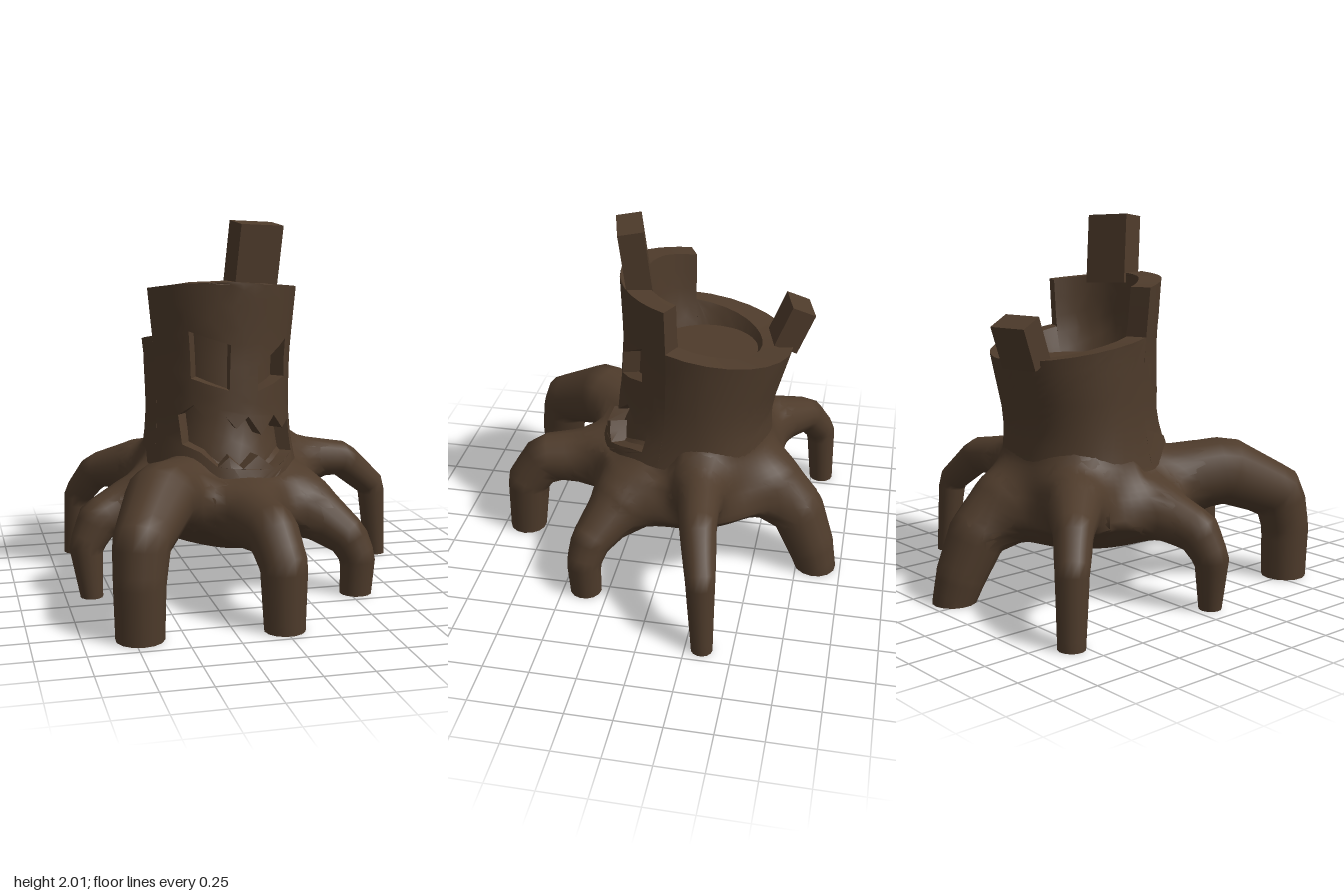
import * as THREE from 'three';
import { toCreasedNormals } from 'three/addons/utils/BufferGeometryUtils.js';

const { lerp, clamp, smoothstep } = THREE.MathUtils;
const CX = -0.105, CZ = -0.19;   // trunk axis
const U = 0.45;                  // unrolled length per radian
const EDGE = 1.21;               // half angle of the raised front

// trunk outline by height: y, half width, front depth, back depth
const RINGS = [
  [0.45, 0.5, 0.63, 0.44], [0.6, 0.45, 0.61, 0.39], [0.75, 0.415, 0.565, 0.365],
  [0.88, 0.4, 0.51, 0.36], [1.0, 0.395, 0.485, 0.38], [1.3, 0.405, 0.465, 0.465],
  [1.38, 0.415, 0.465, 0.5], [1.65, 0.443, 0.475, 0.6],
];
function ring(y) {
  let i = 0;
  while (i < RINGS.length - 2 && y > RINGS[i + 1][0]) i++;
  const a = RINGS[i], b = RINGS[i + 1], t = (y - a[0]) / (b[0] - a[0]);
  return [1, 2, 3].map(k => lerp(a[k], b[k], t));
}

// point on the unrolled trunk from front x and y, or from an angle and y
const atX = ([x, y]) => new THREE.Vector2(Math.asin(clamp((x - CX) / ring(y)[0], -1, 1)) * U, y);
const atAngle = (a, y) => new THREE.Vector2(a * U, y);

// split long edges at their middle so that a flat sheet can be bent
function subdivide(geometry, limit) {
  const p = geometry.toNonIndexed().getAttribute('position');
  const out = [], stack = [];
  for (let i = 0; i < p.count; i += 3)
    stack.push([0, 1, 2].map(k => new THREE.Vector3().fromBufferAttribute(p, i + k)));
  while (stack.length) {
    const t = stack.pop();
    const len = [0, 1, 2].map(k => t[k].distanceTo(t[(k + 1) % 3]));
    const k = len.indexOf(Math.max(...len));
    if (len[k] <= limit) { t.forEach(v => out.push(v.x, v.y, v.z)); continue; }
    const a = t[k], b = t[(k + 1) % 3], c = t[(k + 2) % 3];
    const m = a.clone().add(b).multiplyScalar(0.5);
    stack.push([a, m, c], [m, b, c]);
  }
  return new THREE.BufferGeometry().setAttribute('position', new THREE.Float32BufferAttribute(out, 3));
}

// extrude an unrolled outline and wrap it around the trunk axis
function wrap(shape, outer, inner) {
  const flat = new THREE.ExtrudeGeometry(shape, { depth: 1, bevelEnabled: false, steps: 1 });
  flat.scale(1, 1, 0.05);
  const geo = subdivide(flat, 0.13), p = geo.getAttribute('position');
  for (let i = 0; i < p.count; i++) {
    const a = p.getX(i) / U, y = p.getY(i);
    const d = lerp(inner(y), outer, p.getZ(i) / 0.05);
    const [rx, f, b] = ring(y), c = Math.cos(a);
    p.setXYZ(i, CX + Math.sin(a) * (rx - d), y, CZ + c * ((c > 0 ? f : b) - d * 1.25));
  }
  return toCreasedNormals(geo, 0.6);
}

// evenly spaced points between two angles, at a height given by the angle
const span = (a, b, n, y) => Array.from({ length: n + 1 }, (_, i) => {
  const t = lerp(a, b, i / n);
  return atAngle(t, y(t));
});
const FRONT = [
  ...span(-EDGE, EDGE, 10, () => 0.52), atAngle(EDGE, 0.9), atAngle(EDGE, 1.25), atAngle(EDGE, 1.64),
  ...[[0.12, 1.67], [-0.12, 1.69], [-0.37, 1.68]].map(atX),
  atAngle(-EDGE, 1.645), atAngle(-EDGE, 1.25), atAngle(-EDGE, 0.9),
];
const BACK = [
  ...span(EDGE, 2 * Math.PI - EDGE, 16, () => 0.52),
  ...span(2 * Math.PI - EDGE, EDGE, 16, a => 1.36 + 0.075 * Math.cos(a)),
];
const EYES = [
  [[-0.34, 1.43], [-0.13, 1.36], [-0.14, 1.12], [-0.33, 1.18]],
  [[0.02, 1.24], [0.21, 1.37], [0.2, 1.165], [0.02, 1.11]],
];
const MOUTH = [
  [-0.39, 0.98], [-0.32, 1.04], [-0.26, 0.97], [-0.19, 1.02], [-0.11, 0.92], [-0.04, 0.98],
  [0.03, 0.88], [0.12, 0.97], [0.18, 0.89], [0.235, 0.92], [0.245, 0.75], [0.2, 0.74],
  [0.1, 0.7], [0, 0.78], [-0.09, 0.72], [-0.16, 0.78], [-0.22, 0.73], [-0.3, 0.8], [-0.38, 0.83],
];

// root legs, each as x, y, z, radius from the body to the foot
const LEGS = {
  frontRightLeg: [[-0.31, 0.55, 0.12, 0.2], [-0.55, 0.62, 0.5, 0.185], [-0.7, 0.48, 0.79, 0.145], [-0.72, 0.28, 0.83, 0.13], [-0.72, 0, 0.825, 0.122]],
  frontLeg: [[-0.1, 0.47, 0.1, 0.19], [-0.08, 0.485, 0.45, 0.165], [-0.03, 0.475, 0.74, 0.135], [0, 0.33, 0.845, 0.122], [0, 0, 0.865, 0.105]],
  frontLeftLeg: [[0.1, 0.54, 0.04, 0.19], [0.31, 0.46, 0.22, 0.16], [0.5, 0.31, 0.35, 0.11], [0.55, 0.2, 0.38, 0.095], [0.54, 0, 0.375, 0.087]],
  leftLeg: [[0.05, 0.6, -0.18, 0.19], [0.36, 0.64, -0.23, 0.125], [0.66, 0.61, -0.27, 0.1], [0.87, 0.43, -0.32, 0.08], [0.91, 0, -0.34, 0.058]],
  backLeg: [[-0.03, 0.58, -0.3, 0.18], [0.02, 0.5, -0.58, 0.17], [0.04, 0.35, -0.73, 0.155], [0.065, 0.15, -0.815, 0.135], [0.08, 0, -0.86, 0.113]],
  backRightLeg: [[-0.25, 0.58, -0.3, 0.18], [-0.5, 0.58, -0.51, 0.15], [-0.72, 0.52, -0.7, 0.1], [-0.82, 0.36, -0.79, 0.085], [-0.84, 0, -0.81, 0.07]],
  rightLeg: [[-0.35, 0.5, -0.1, 0.17], [-0.63, 0.48, -0.01, 0.135], [-0.81, 0.41, 0.05, 0.115], [-0.885, 0.28, 0.08, 0.09], [-0.86, 0, 0.1, 0.06]],
};

// distance to the blended form of bowl, trunk foot and legs
function smoothMin(a, b, k) {
  const h = Math.max(k - Math.abs(a - b), 0) / k;
  return Math.min(a, b) - h * h * k / 4;
}
function bowl(x, y, z) {
  const q = [x + 0.08, y - 0.48, z + 0.1], r = [0.5, 0.26, 0.53];
  const k = Math.hypot(...q.map((v, i) => v / r[i]));
  return k * (k - 1) / Math.hypot(...q.map((v, i) => v / (r[i] * r[i])));
}
function trunkFoot(x, y, z) {
  const [rx, f, b] = ring(clamp(y, 0.45, 1));
  const rise = lerp(-0.012, 0.02, smoothstep(y, 0.65, 0.9));
  const inset = lerp(rise, 0.1, smoothstep(z, -0.12, 0.02) * smoothstep(y, 0.63, 0.7));
  const side = (Math.hypot((x - CX) / rx, (z - CZ) / (z > CZ ? f : b)) - 1) * rx + inset;
  return Math.max(side, y - 1, 0.45 - y);
}
function limb(rows, x, y, z) {
  let d = Infinity;
  for (let i = 0; i < rows.length - 1; i++) {
    const a = rows[i], b = rows[i + 1];
    const u = b[0] - a[0], v = b[1] - a[1], w = b[2] - a[2];
    const t = clamp(((x - a[0]) * u + (y - a[1]) * v + (z - a[2]) * w) / (u * u + v * v + w * w), 0, 1);
    d = Math.min(d, Math.hypot(x - a[0] - u * t, y - a[1] - v * t, z - a[2] - w * t) - lerp(a[3], b[3], t));
  }
  return d;
}
function form(x, y, z) {
  let d = smoothMin(bowl(x, y, z), trunkFoot(x, y, z), 0.1);
  for (const rows of Object.values(LEGS)) d = smoothMin(d, limb(rows, x, y, z), 0.13);
  return d;
}

// move each vertex outward from its centre onto the blended form
function settle(geo, centreOf) {
  const p = geo.getAttribute('position'), n = geo.getAttribute('normal');
  const v = new THREE.Vector3(), dir = new THREE.Vector3(), e = 0.008;
  for (let i = 0; i < p.count; i++) {
    const { c, start, max, foot } = centreOf(i);
    dir.fromBufferAttribute(p, i).sub(c);
    if (foot) dir.y = 0;
    dir.normalize();
    let t = start;
    for (let s = 0; s < 30; s++) {
      v.copy(c).addScaledVector(dir, t);
      t = clamp(t - form(v.x, v.y, v.z) * 0.7, start, max);
    }
    v.copy(c).addScaledVector(dir, t);
    p.setXYZ(i, v.x, Math.max(v.y, 0), v.z);
    dir.set(form(v.x + e, v.y, v.z) - form(v.x - e, v.y, v.z),
      form(v.x, v.y + e, v.z) - form(v.x, v.y - e, v.z),
      form(v.x, v.y, v.z + e) - form(v.x, v.y, v.z - e)).normalize();
    n.setXYZ(i, dir.x, dir.y, dir.z);
  }
  return geo;
}

function legGeometry(rows) {
  const curve = new THREE.CatmullRomCurve3(rows.map(r => new THREE.Vector3(r[0], r[1], r[2])), false, 'catmullrom', 0.2);
  const n = 24, sides = 14;
  return settle(new THREE.TubeGeometry(curve, n, 0.05, sides), i => {
    const u = Math.floor(i / (sides + 1)) / n, t = curve.getUtoTmapping(u) * (rows.length - 1);
    const k = Math.min(Math.floor(t), rows.length - 2), r = lerp(rows[k][3], rows[k + 1][3], t - k);
    return { c: curve.getPointAt(u), start: r * 0.6, max: r * 1.5, foot: u === 1 };
  });
}

export function createModel() {
  const model = new THREE.Group();
  model.name = 'walkingStump';
  const bark = new THREE.MeshStandardMaterial({ color: 0x4e3b2b });
  bark.name = 'darkBark';
  const add = (name, geo, parent = model) => {
    const mesh = new THREE.Mesh(geo, bark);
    mesh.name = name;
    parent.add(mesh);
    return mesh;
  };

  // trunk wall with carved face, and the solid wall behind the carving
  const carved = new THREE.Shape(FRONT);
  [...EYES, MOUTH].forEach(h => carved.holes.push(new THREE.Path(h.map(atX))));
  const thickness = y => 0.105 + Math.max(0, 1.38 - y) * 0.3;
  add('carvedFront', wrap(carved, 0, () => 0.08));
  add('innerFront', wrap(new THREE.Shape(FRONT), 0.075, thickness));
  add('backWall', wrap(new THREE.Shape(BACK), 0, thickness));

  // splinters standing on the rim: size, position, rotation
  const splinter = (name, size, at, turn) => {
    const mesh = add(name, new THREE.BoxGeometry(...size));
    mesh.position.set(...at);
    mesh.rotation.set(...turn, 'YXZ');
  };
  splinter('frontSplinter', [0.25, 0.37, 0.135], [0.01, 1.807, 0.188], [0.13, 0.24, -0.05]);
  splinter('backSplinter', [0.21, 0.24, 0.135], [-0.22, 1.382, -0.628], [-0.4, 0.26, 0]);

  // floor of the hollow
  const floor = add('hollowFloor', new THREE.CylinderGeometry(0.3, 0.3, 0.04, 14));
  floor.position.set(CX, 1.23, CZ);

  // rounded base that swells into the legs
  const heart = new THREE.Vector3(-0.1, 0.48, -0.13);
  const ball = new THREE.SphereGeometry(0.2, 72, 48).translate(heart.x, heart.y, heart.z);
  add('base', settle(ball, () => ({ c: heart, start: 0.12, max: 0.72 })));

  // legs with flat feet
  for (const [name, rows] of Object.entries(LEGS)) {
    const leg = new THREE.Group();
    leg.name = name;
    model.add(leg);
    add('limb', legGeometry(rows), leg);
    const [x, , z, r] = rows[rows.length - 1];
    const sole = add('sole', new THREE.CircleGeometry(r, 14), leg);
    sole.rotation.x = Math.PI / 2;
    sole.position.set(x, 0.001, z);
  }
  return model;
}
